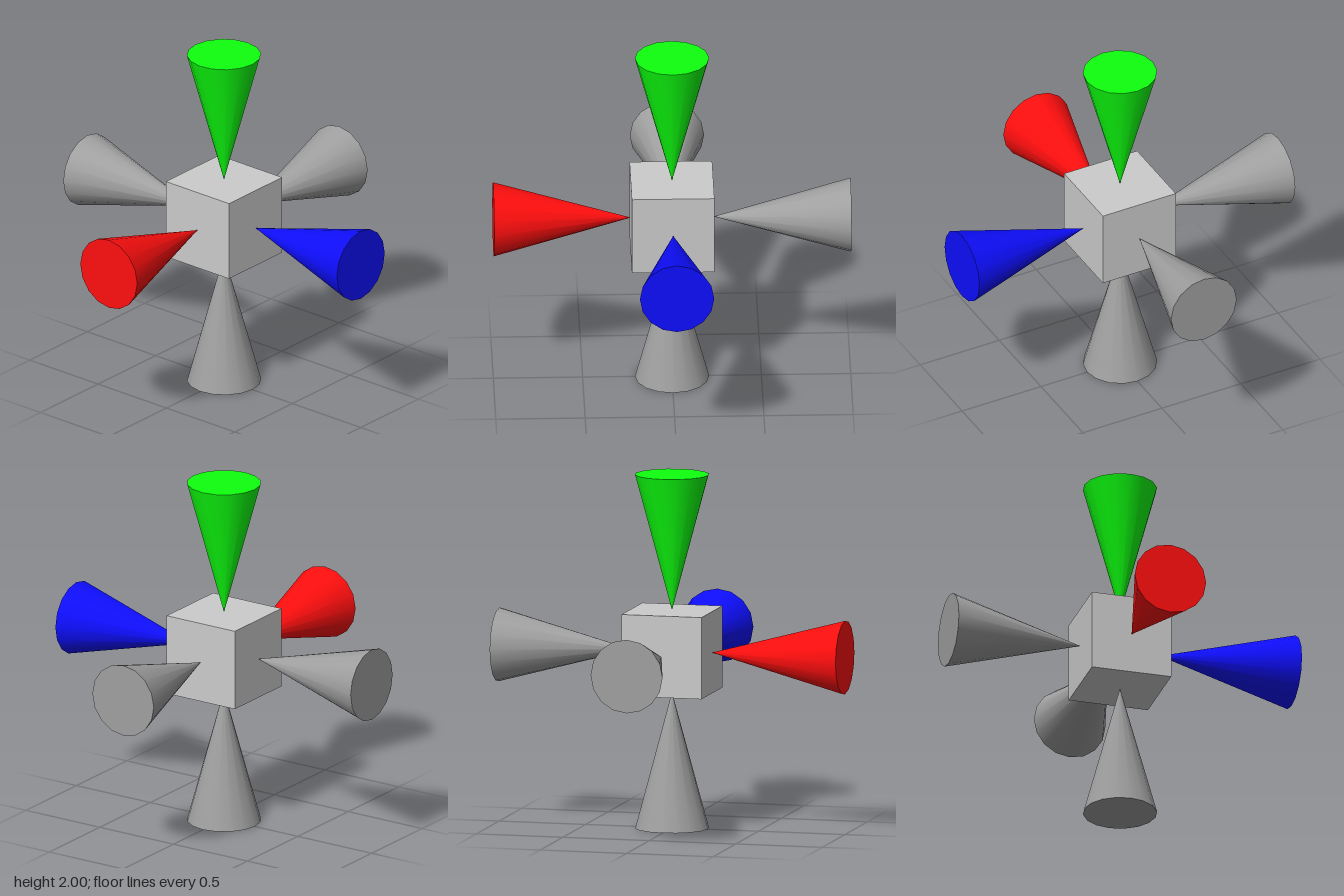
import * as THREE from 'three';

const CENTRE_Y = 1;
const HALF_CUBE = 0.231;
const CONE_RADIUS = 0.208;
const CONE_LENGTH = 1 - HALF_CUBE;

// One cone per axis direction, tip resting on the cube face, base outward
const ARMS = [
  { name: 'leftCone', dir: [1, 0, 0], color: 0xa0a0a0 },
  { name: 'rightCone', dir: [-1, 0, 0], color: 0xff0e0e },
  { name: 'topCone', dir: [0, 1, 0], color: 0x0eff0e },
  { name: 'bottomCone', dir: [0, -1, 0], color: 0xa0a0a0 },
  { name: 'frontCone', dir: [0, 0, 1], color: 0x0e0eff },
  { name: 'backCone', dir: [0, 0, -1], color: 0xa0a0a0 },
];

export function createModel() {
  const model = new THREE.Group();
  model.name = 'axisGizmo';

  // Central cube
  const size = HALF_CUBE * 2;
  const cube = new THREE.Mesh(
    new THREE.BoxGeometry(size, size, size),
    new THREE.MeshStandardMaterial({ color: 0xcccccc })
  );
  cube.name = 'centreCube';
  cube.position.y = CENTRE_Y;
  model.add(cube);

  // Six cones pointing inward
  const coneGeometry = new THREE.ConeGeometry(CONE_RADIUS, CONE_LENGTH, 16);
  const up = new THREE.Vector3(0, 1, 0);
  for (const { name, dir, color } of ARMS) {
    const outward = new THREE.Vector3(...dir);
    const cone = new THREE.Mesh(coneGeometry, new THREE.MeshStandardMaterial({ color }));
    cone.name = name;
    cone.quaternion.setFromUnitVectors(up, outward.clone().negate());
    cone.position.copy(outward).multiplyScalar(HALF_CUBE + CONE_LENGTH / 2);
    cone.position.y += CENTRE_Y;
    model.add(cone);
  }
  return model;
}
